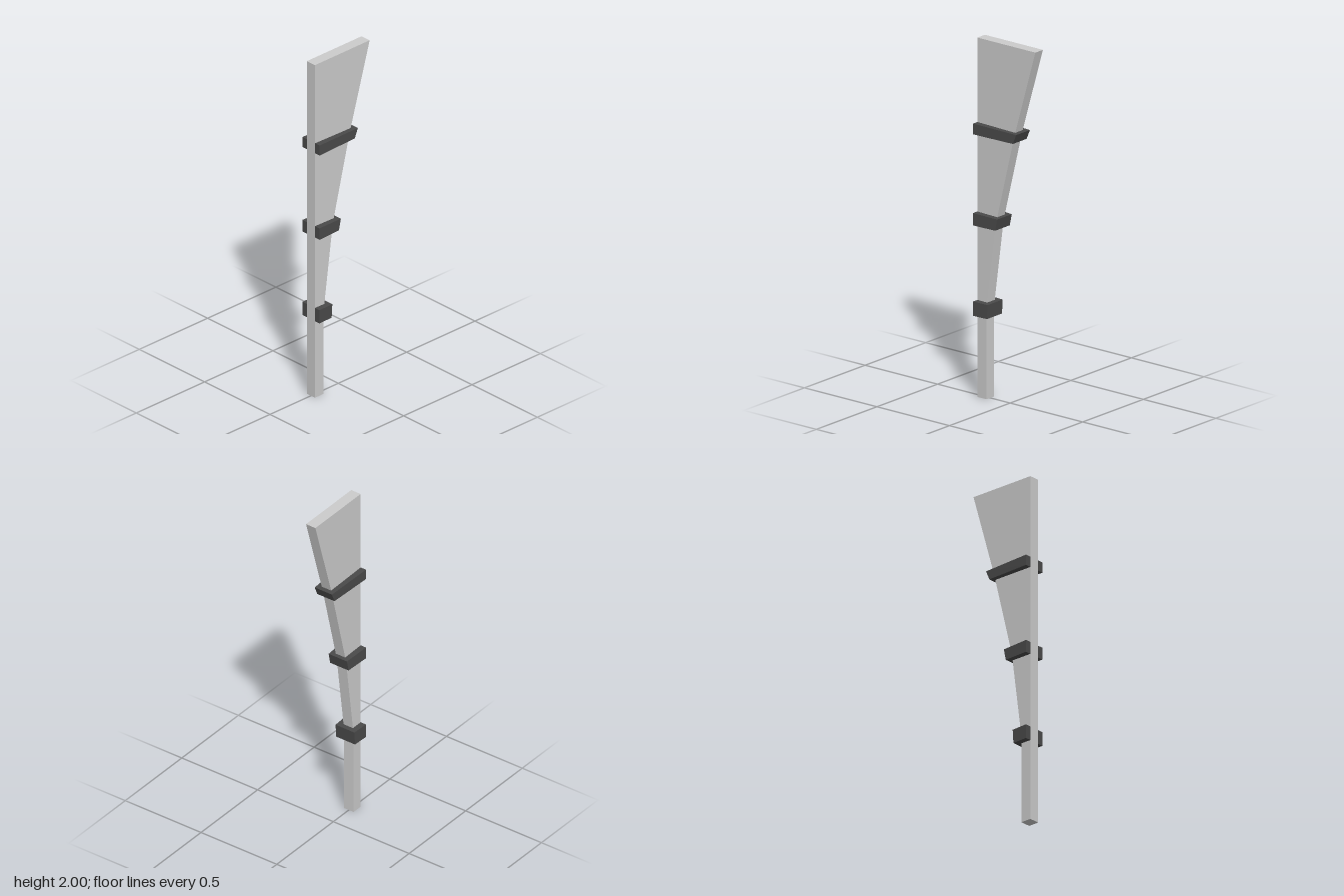
import * as THREE from 'three';

const FRONT = 0.2;
const HALF = 0.031; // half thickness of the blade
// back edge of the blade as [y, z]
const backEdge = [[0, 0.137], [0.5, 0.137], [1, 0.07], [1.5, -0.054], [2, -0.2]];

// U-shaped clip, flush with the front edge, wrapping the sides and back
function makeBand(y0, y1, backLow, backHigh, innerLow, innerHigh, drop, material) {
  const back = (backLow + backHigh) / 2;
  const inner = (innerLow + innerHigh) / 2;
  const outerBack = 0.065 - (FRONT - back) * 0.029;
  const shape = new THREE.Shape([
    [-0.066, -FRONT], [-HALF, -FRONT], [-HALF, -inner], [HALF, -inner],
    [HALF, -FRONT], [0.066, -FRONT], [outerBack, -back], [-outerBack, -back],
  ].map(([x, y]) => new THREE.Vector2(x, y)));
  const geometry = new THREE.ExtrudeGeometry(shape, { depth: y1 - y0, bevelEnabled: false });
  geometry.rotateX(-Math.PI / 2);
  geometry.translate(0, y0, 0);

  // lean the back with the blade's slope and lower its top slightly
  const p = geometry.attributes.position;
  for (let i = 0; i < p.count; i++) {
    const z = p.getZ(i);
    if (z > FRONT - 0.01) continue;
    const high = p.getY(i) > (y0 + y1) / 2;
    const isBack = Math.abs(z - back) < 1e-4;
    if (isBack) p.setZ(i, high ? backHigh : backLow);
    else p.setZ(i, high ? innerHigh : innerLow);
    if (high) p.setY(i, y1 - drop * (FRONT - z) / (FRONT - back));
  }
  geometry.computeVertexNormals();
  return new THREE.Mesh(geometry, material);
}

export function createModel() {
  const model = new THREE.Group();
  const grey = new THREE.MeshStandardMaterial({ color: 0xcccccc, flatShading: true });
  const dark = new THREE.MeshStandardMaterial({ color: 0x4a4a4a, flatShading: true });

  // flat blade widening towards the top, profile drawn in (-z, y)
  const profile = new THREE.Shape();
  profile.moveTo(-FRONT, 0);
  backEdge.forEach(([y, z]) => profile.lineTo(-z, y));
  profile.lineTo(-FRONT, 2);
  const bladeGeometry = new THREE.ExtrudeGeometry(profile, { depth: HALF * 2, bevelEnabled: false });
  bladeGeometry.translate(0, 0, -HALF);
  bladeGeometry.rotateY(Math.PI / 2);
  const blade = new THREE.Mesh(bladeGeometry, grey);
  blade.name = 'blade';
  model.add(blade);

  // clips from bottom to top: y range, back z (low, high), inner z (low, high), top drop
  [
    ['lowerBand', 0.46, 0.54, 0.108, 0.103, 0.14, 0.135, 0.001],
    ['middleBand', 0.963, 1.032, 0.053, 0.039, 0.078, 0.066, 0.004],
    ['upperBand', 1.47, 1.53, -0.066, -0.089, -0.042, -0.058, 0.006],
  ].forEach(([name, ...sizes]) => {
    const band = makeBand(...sizes, dark);
    band.name = name;
    model.add(band);
  });

  return model;
}
